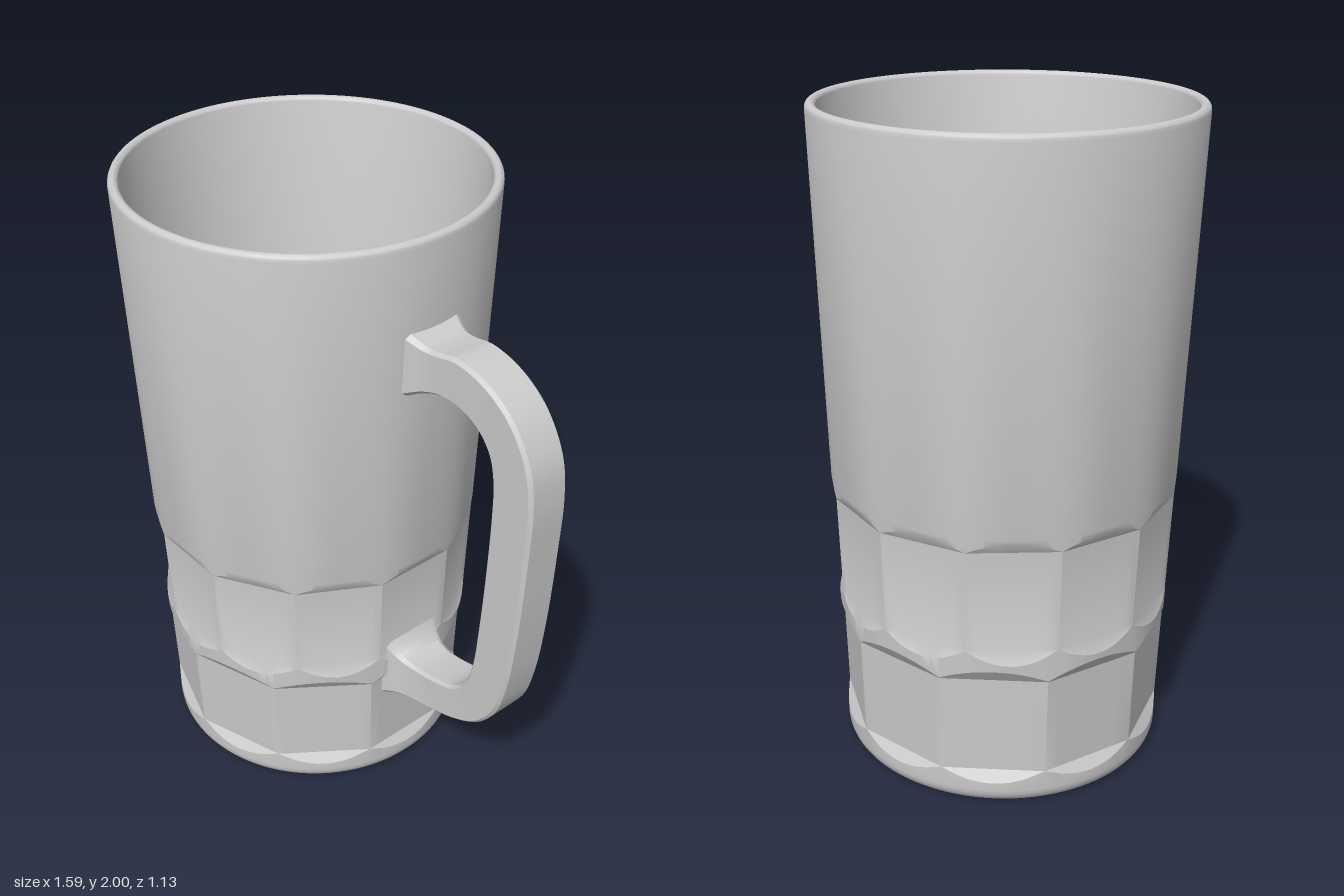
import * as THREE from 'three';
import { toCreasedNormals } from 'three/addons/utils/BufferGeometryUtils.js';

const SEGMENTS = 120; // divisible by both facet counts, so facet edges fall on vertices
const CUP_X = -0.23;

// Skins a list of closed rings of Vector3, each with the same point count
function loft(rings, crease) {
  const n = rings[0].length;
  const index = [];
  for (let j = 0; j < rings.length - 1; j++) {
    for (let i = 0; i < n; i++) {
      const k = (i + 1) % n;
      const a = j * n + i, b = j * n + k, c = b + n, d = a + n;
      index.push(a, b, d, b, c, d);
    }
  }
  const geometry = new THREE.BufferGeometry().setFromPoints(rings.flat());
  geometry.setIndex(index);
  return toCreasedNormals(geometry, crease);
}

// Radius stretch that turns a circle into a flat-sided polygon
function facetStretch(theta, sides, phase) {
  const step = (Math.PI * 2) / sides;
  const local = THREE.MathUtils.euclideanModulo(theta - phase, step) - step / 2;
  return 1 / Math.cos(local);
}

// Point where a sloping facet end runs out into the round body: makes the scallops
function scallop(stretch, [d0, y0], [d1, y1], radius) {
  const t = THREE.MathUtils.clamp((radius / stretch - d0) / (d1 - d0), 0, 1);
  return [radius, THREE.MathUtils.lerp(y0, y1, t)];
}

function arc(cx, cy, rx, ry, from, to, steps) {
  return Array.from({ length: steps + 1 }, (_, i) => {
    const a = THREE.MathUtils.degToRad(from + ((to - from) * i) / steps);
    return [cx + rx * Math.cos(a), cy + ry * Math.sin(a)];
  });
}

// Cup outline [radius, y] at one angle: base, two facet tiers, wall, lip, inside
function cupProfile(theta) {
  const low = facetStretch(theta, 10, 0);
  const high = facetStretch(theta, 12, Math.PI / 12);
  return [
    [0, 0],
    ...arc(0.45, 0.05, 0.045, 0.05, -90, 0, 6),
    scallop(low, [0.472, 0.11], [0.495, 0.075], 0.495),
    [0.472 * low, 0.11],
    [0.482 * low, 0.42],
    scallop(low, [0.482, 0.42], [0.509, 0.462], 0.509),
    scallop(high, [0.494, 0.525], [0.511, 0.482], 0.511),
    [0.494 * high, 0.525],
    [0.505 * high, 0.84],
    scallop(high, [0.505, 0.84], [0.523, 0.872], 0.523),
    [0.526, 0.885],
    ...arc(0.549, 1.982, 0.016, 0.018, 0, 180, 10),
    [0.457, 0.13],
    [0, 0.13],
  ];
}

function cupGeometry() {
  const profiles = Array.from({ length: SEGMENTS }, (_, i) =>
    cupProfile((i / SEGMENTS) * Math.PI * 2));
  const rings = profiles[0].map((_, j) => profiles.map((profile, i) => {
    const theta = (i / SEGMENTS) * Math.PI * 2;
    const [r, y] = profile[j];
    return new THREE.Vector3(r * Math.sin(theta), y, r * Math.cos(theta));
  }));
  return loft(rings, 0.42);
}

// Handle swept between an outer and an inner edge curve, flared at both roots
function handleGeometry() {
  const curve = (points) =>
    new THREE.CatmullRomCurve3(points.map(([x, y, z = 0]) => new THREE.Vector3(x, y, z)));
  // third value: half width
  const outer = curve([
    [0.305, 1.73, 0.105], [0.37, 1.7, 0.082], [0.42, 1.702, 0.076], [0.49, 1.712, 0.073],
    [0.6, 1.685, 0.071], [0.7, 1.615, 0.07], [0.77, 1.5, 0.07], [0.79, 1.38, 0.07],
    [0.787, 1.2, 0.07], [0.77, 0.9, 0.07], [0.745, 0.7, 0.07], [0.71, 0.58, 0.07],
    [0.64, 0.485, 0.07], [0.54, 0.425, 0.071], [0.42, 0.392, 0.075], [0.32, 0.375, 0.088],
    [0.242, 0.345, 0.115],
  ]);
  const inner = curve([
    [0.305, 1.52], [0.37, 1.553], [0.43, 1.57], [0.5, 1.566], [0.57, 1.535], [0.62, 1.475],
    [0.638, 1.4], [0.641, 1.3], [0.635, 1.1], [0.62, 0.85], [0.605, 0.7], [0.58, 0.615],
    [0.53, 0.56], [0.45, 0.532], [0.36, 0.52], [0.3, 0.535], [0.245, 0.6],
  ]);
  // Bevelled section: [0 inner .. 1 outer, -1 .. 1 across]
  const section = [
    [1, -0.85], [1, 0.85], [0.93, 1], [0.07, 1], [0, 0.85], [0, -0.85], [0.07, -1], [0.93, -1],
  ];
  const rings = Array.from({ length: 97 }, (_, j) => {
    const a = inner.getPoint(j / 96);
    const b = outer.getPoint(j / 96);
    return section.map(([u, w]) => new THREE.Vector3(
      THREE.MathUtils.lerp(a.x, b.x, u), THREE.MathUtils.lerp(a.y, b.y, u), b.z * w));
  });
  return loft(rings, 0.6);
}

export function createModel() {
  const group = new THREE.Group();
  group.name = 'mug';
  const glass = new THREE.MeshStandardMaterial({ color: 0xcccccc });

  const cup = new THREE.Mesh(cupGeometry(), glass);
  cup.name = 'cup';
  cup.position.x = CUP_X;

  const handle = new THREE.Mesh(handleGeometry(), glass);
  handle.name = 'handle';

  group.add(cup, handle);
  return group;
}
